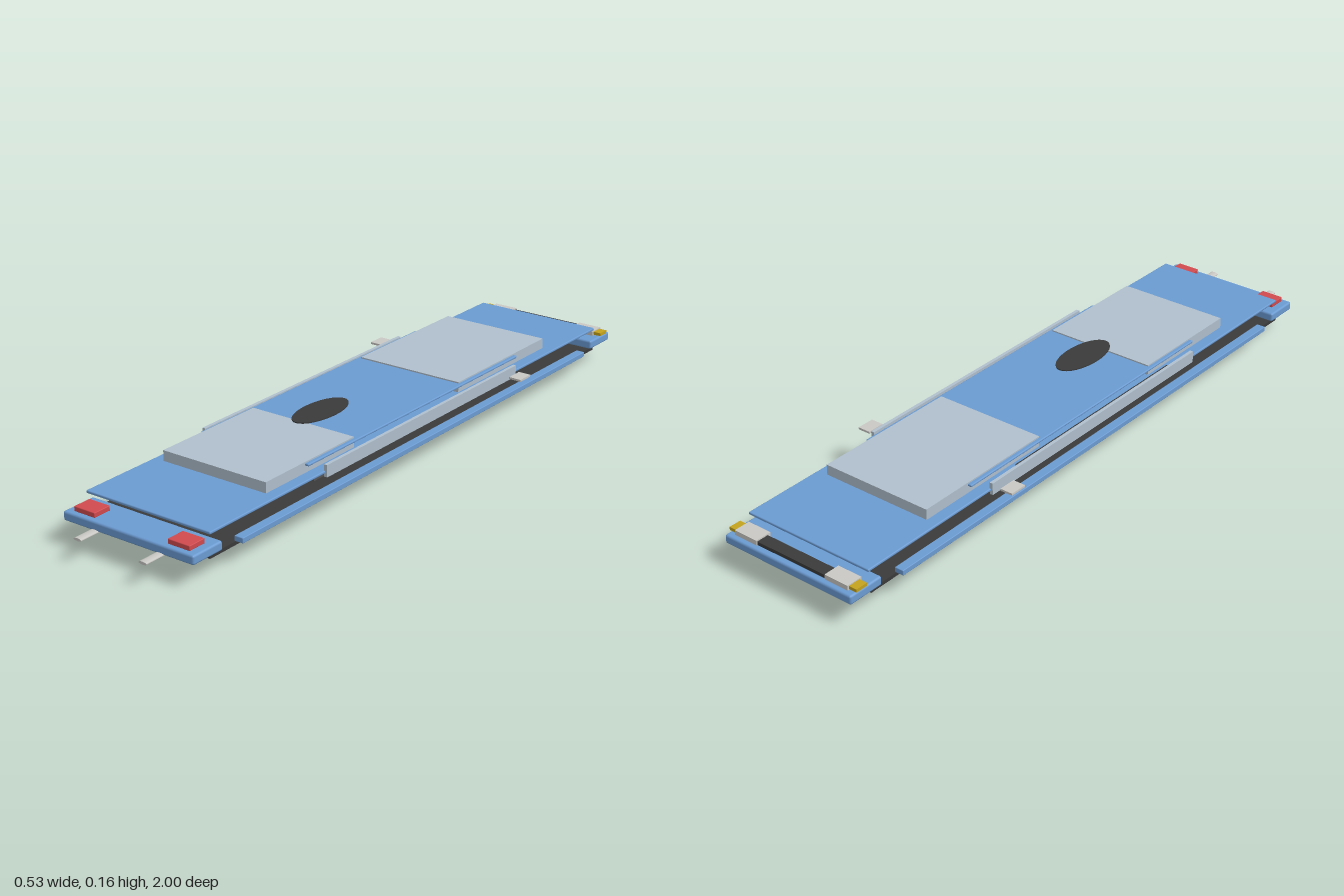
import * as THREE from 'three';
import { RoundedBoxGeometry } from 'three/addons/geometries/RoundedBoxGeometry.js';

const material = (name, color) => Object.assign(new THREE.MeshStandardMaterial({ color }), { name });

export function createModel() {
  const group = new THREE.Group();
  const blue = material('body blue', 0x6b9bd2);
  const glass = material('glass grey', 0xafbfcc);
  const dark = material('dark trim', 0x3a3a3a);
  const seat = material('seat grey', 0x555557);
  const red = material('lamp red', 0xd04a4e);
  const amber = material('lamp amber', 0xc4a31c);
  const pale = material('pale metal', 0xc9c8c4);

  // Box given by its limits on each axis, optionally with rounded edges
  function box(name, mat, [x0, x1], [y0, y1], [z0, z1], radius = 0) {
    const size = [x1 - x0, y1 - y0, z1 - z0];
    const geo = radius ? new RoundedBoxGeometry(...size, 2, radius) : new THREE.BoxGeometry(...size);
    const mesh = new THREE.Mesh(geo, mat);
    mesh.name = name;
    mesh.position.set((x0 + x1) / 2, (y0 + y1) / 2, (z0 + z1) / 2);
    group.add(mesh);
  }
  // Same box on the left (+x) and right (-x)
  function pair(name, mat, [x0, x1], ...rest) {
    box(name + 'Left', mat, [x0, x1], ...rest);
    box(name + 'Right', mat, [-x1, -x0], ...rest);
  }

  // Underbody
  box('lowerTank', blue, [-0.105, 0.105], [0, 0.05], [-0.25, 0.2], 0.005);
  box('floor', dark, [-0.203, 0.203], [0.048, 0.058], [-0.92, 0.87]);
  pair('sill', blue, [0.198, 0.225], [0.057, 0.072], [-0.83, 0.775], 0.002);

  // Bumpers
  box('frontBumper', blue, [-0.212, 0.212], [0.059, 0.085], [0.833, 0.94], 0.006);
  box('rearBumper', blue, [-0.212, 0.212], [0.059, 0.085], [-1, -0.89], 0.006);

  // Seats and cabin fittings
  box('bench', seat, [-0.165, 0.165], [0.078, 0.098], [0.26, 0.42]);
  pair('seat', seat, [0.03, 0.165], [0.073, 0.109], [-0.11, 0.26]);
  box('console', seat, [-0.03, 0.03], [0.07, 0.095], [-0.25, 0.2]);
  box('dashboard', dark, [-0.16, 0.16], [0.1, 0.105], [-0.39, -0.29]);

  // Body deck, roof and windows
  box('deck', blue, [-0.202, 0.202], [0.109, 0.117], [-0.925, 0.867], 0.003);
  box('frontWindow', glass, [-0.169, 0.169], [0.113, 0.147], [0.255, 0.617]);
  box('rearWindow', glass, [-0.169, 0.169], [0.113, 0.147], [-0.678, -0.232]);
  box('roof', blue, [-0.18, 0.18], [0.136, 0.143], [-0.52, 0.46], 0.003);
  pair('sideWindow', glass, [0.198, 0.208], [0.1, 0.134], [-0.47, 0.42]);
  pair('trimStrip', dark, [0.18, 0.197], [0.114, 0.12], [-0.345, 0.33]);
  pair('mirror', pale, [0.225, 0.263], [0.115, 0.121], [-0.46, -0.408]);

  // Oval plate above the roof
  const oval = new THREE.Mesh(new THREE.CylinderGeometry(1, 1, 0.003, 32), dark);
  oval.name = 'roofOval';
  oval.scale.set(0.05, 1, 0.107);
  oval.position.set(0, 0.155, 0.178);
  group.add(oval);

  // Lamps and end details
  pair('redLamp', red, [0.119, 0.188], [0.085, 0.099], [0.87, 0.925], 0.002);
  pair('amberLamp', amber, [0.19, 0.214], [0.087, 0.096], [-0.98, -0.944]);
  pair('paleLamp', pale, [0.115, 0.19], [0.084, 0.099], [-0.985, -0.937]);
  box('grille', dark, [-0.117, 0.117], [0.083, 0.095], [-0.982, -0.946]);

  // Flattened pipes beneath the front bumper
  for (const side of [1, -1]) {
    const pipe = new THREE.Mesh(new THREE.CylinderGeometry(1, 1, 0.17, 12), pale);
    pipe.name = side > 0 ? 'pipeLeft' : 'pipeRight';
    pipe.rotation.x = Math.PI / 2;
    pipe.scale.set(0.013, 1, 0.004);
    pipe.position.set(side * 0.106, 0.06, 0.915);
    group.add(pipe);
  }
  return group;
}
